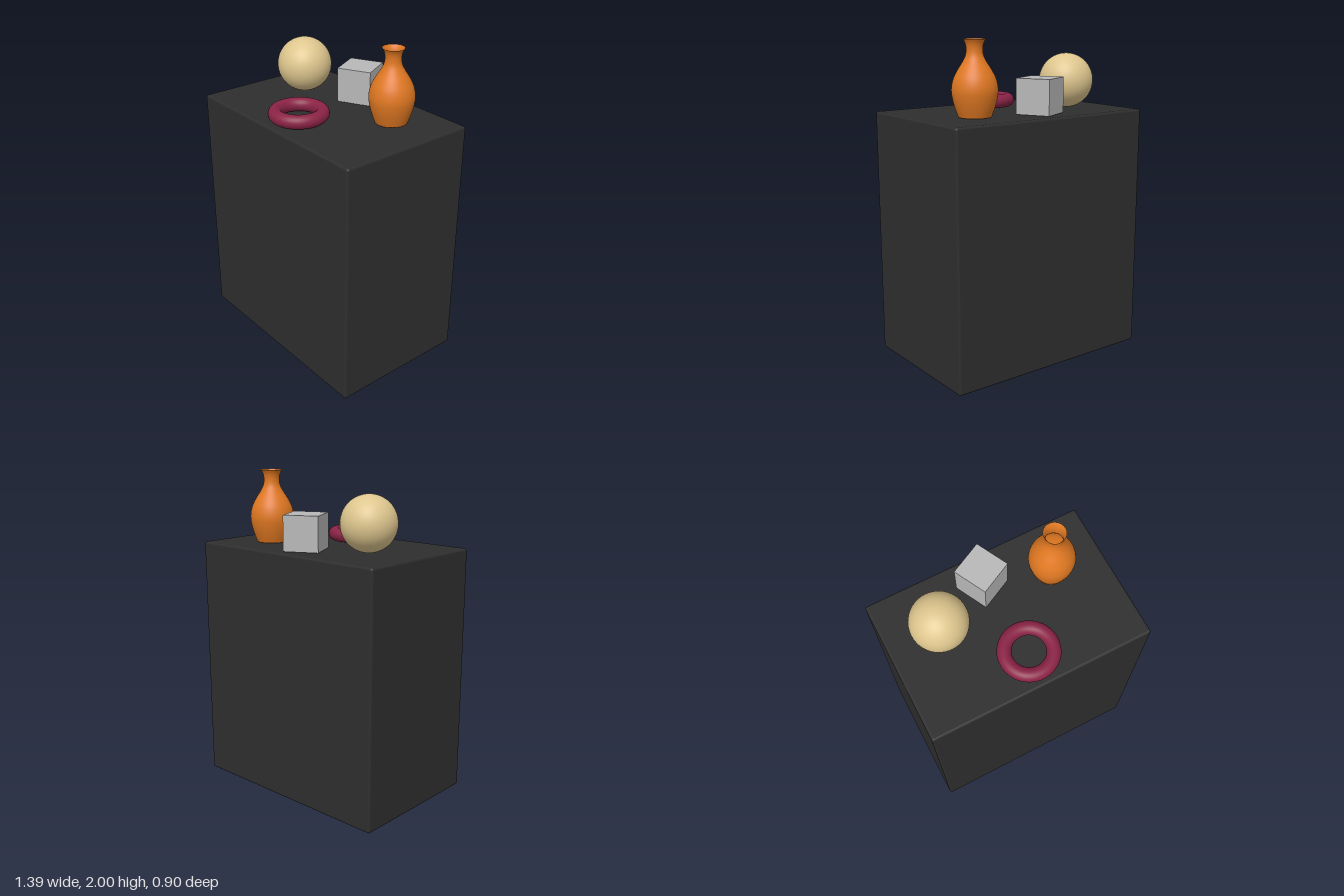
import * as THREE from 'three';
import { RoundedBoxGeometry } from 'three/addons/geometries/RoundedBoxGeometry.js';

function material(name, color, side = THREE.FrontSide) {
  const m = new THREE.MeshStandardMaterial({ color, side });
  m.name = name;
  return m;
}

export function createModel() {
  const model = new THREE.Group();
  model.name = 'plinthWithObjects';
  const top = 1.55;

  function add(name, geometry, mat, x, y, z) {
    const mesh = new THREE.Mesh(geometry, mat);
    mesh.name = name;
    mesh.position.set(x, y, z);
    model.add(mesh);
    return mesh;
  }

  // Plinth with softened edges
  add('plinth', new RoundedBoxGeometry(1.39, top, 0.9, 3, 0.015),
    material('charcoal', 0x2e2e2e), 0, top / 2, 0);

  // Ball
  add('ball', new THREE.SphereGeometry(0.17, 48, 32),
    material('sand', 0xdec68e), -0.374, top + 0.174, -0.097);

  // Cube, turned on its base
  const cube = add('cube', new THREE.BoxGeometry(0.214, 0.214, 0.214),
    material('grey', 0xb8b8b8), -0.028, top + 0.111, -0.263);
  cube.rotation.y = 0.47;

  // Ring lying flat
  const ring = add('ring', new THREE.TorusGeometry(0.14, 0.042, 24, 64),
    material('burgundy', 0x8b2346), 0.009, top + 0.046, 0.244);
  ring.rotation.x = -Math.PI / 2;

  // Open vase: smooth wall profile as radius, height
  const orange = material('orange', 0xe07822, THREE.DoubleSide);
  const wall = new THREE.SplineCurve([
    [0.097, 0], [0.115, 0.05], [0.13, 0.105], [0.136, 0.16], [0.125, 0.217],
    [0.1, 0.268], [0.072, 0.312], [0.053, 0.35], [0.048, 0.387],
    [0.053, 0.42], [0.066, 0.446],
  ].map(([r, y]) => new THREE.Vector2(r, y))).getPoints(48);
  add('vaseWall', new THREE.LatheGeometry(wall, 48), orange, 0.37, top + 0.004, -0.158);

  // Vase floor
  const floor = add('vaseFloor', new THREE.CircleGeometry(0.097, 48), orange,
    0.37, top + 0.004, -0.158);
  floor.rotation.x = -Math.PI / 2;

  return model;
}
